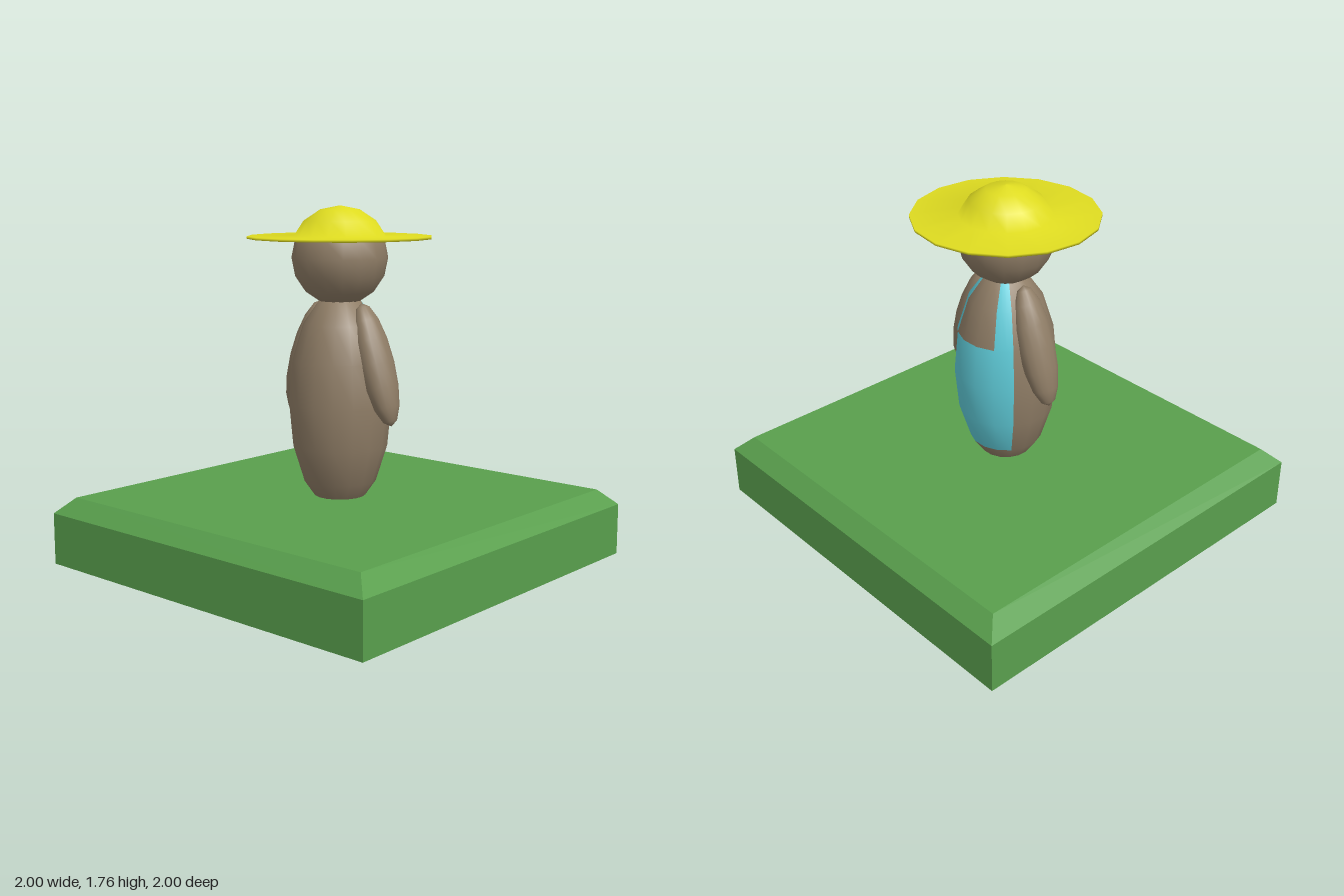
import * as THREE from 'three';
import { mergeGeometries } from 'three/addons/utils/BufferGeometryUtils.js';

const paint = (color, extra = {}) => new THREE.MeshStandardMaterial({ color, ...extra });
const STEP = Math.PI / 8; // one facet of a 16 x 8 ellipsoid

function add(parent, name, geometry, material) {
  const mesh = new THREE.Mesh(geometry, material);
  mesh.name = name;
  parent.add(mesh);
  return mesh;
}

// Patch of the body ellipsoid, counted in facets; column 0 is centred on +x.
function bodyPatch(col, cols, row, rows) {
  const phi = Math.PI + (col - 0.5) * STEP;
  const g = new THREE.SphereGeometry(1, cols, rows, phi, cols * STEP, row * STEP, rows * STEP);
  return g.scale(0.255, 0.55, 0.255).translate(0, 0.8, 0);
}

export function createModel() {
  const model = new THREE.Group();
  const skin = paint(0x8f7d66);
  const cloth = paint(0x5fcbd8);
  const straw = paint(0xdedb20, { side: THREE.DoubleSide });
  const grass = paint(0x599f4d, { side: THREE.DoubleSide, flatShading: true });

  // Bevelled square base, hollow and open underneath
  const d = Math.SQRT2;
  const baseProfile = [[d, 0], [d, 0.257], [0.92 * d, 0.335], [0, 0.335]];
  const base = new THREE.LatheGeometry(baseProfile.map(p => new THREE.Vector2(...p)), 4);
  add(model, 'base', base.rotateY(Math.PI / 4), grass);

  // Body, split where the overalls cover it
  add(model, 'body', mergeGeometries([
    bodyPatch(3, 11, 0, 8),  // back and sides
    bodyPatch(-2, 5, 0, 1),  // neck
    bodyPatch(-1, 3, 1, 2),  // chest between the straps
    bodyPatch(-2, 5, 6, 2),  // underside
  ]), skin);

  // Overalls: bib and two straps
  add(model, 'overalls', mergeGeometries([
    bodyPatch(-2, 5, 3, 3),
    bodyPatch(-2, 1, 1, 2),
    bodyPatch(2, 1, 1, 2),
  ]), cloth);

  // Arms hanging outward on both sides
  for (const side of [-1, 1]) {
    const arm = add(model, side > 0 ? 'frontArm' : 'backArm',
      new THREE.SphereGeometry(1, 16, 8).scale(0.096, 0.305, 0.08), skin);
    arm.position.set(0.01, 1.005, side * 0.225);
    arm.rotation.x = -side * 0.316;
  }

  // Head
  const head = add(model, 'head', new THREE.SphereGeometry(0.235, 16, 8), skin);
  head.position.y = 1.51;

  // Straw hat: thin flat brim running smoothly into the dome
  const hatProfile = [[0.2, 1.602], [0.45, 1.602], [0.45, 1.614], [0.225, 1.614],
    [0.177, 1.687], [0.096, 1.741], [0, 1.76]];
  const hat = new THREE.LatheGeometry(hatProfile.map(p => new THREE.Vector2(...p)), 16);
  add(model, 'hat', hat.rotateY(0.066), straw);

  return model;
}
